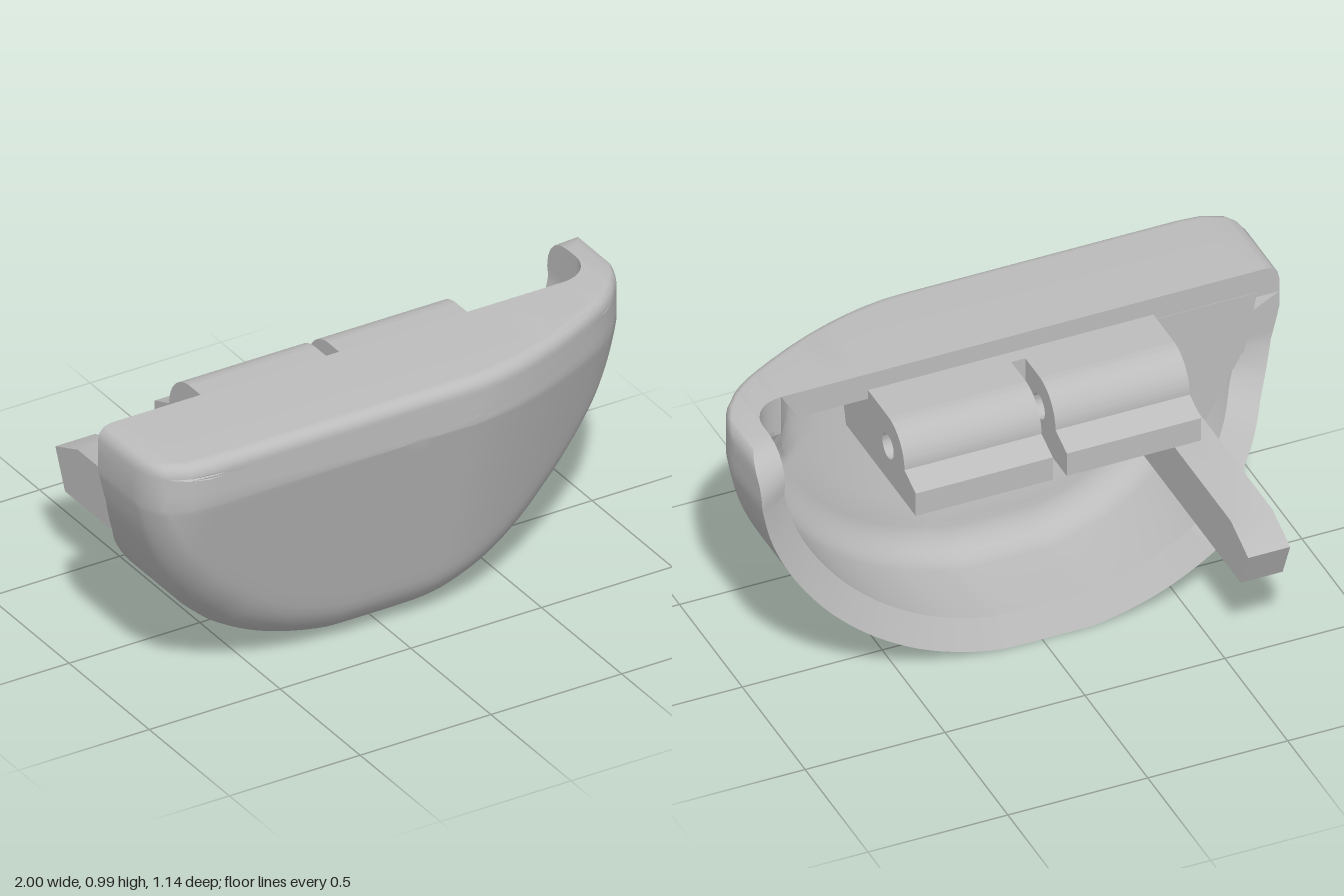
import * as THREE from 'three';
import { toCreasedNormals } from 'three/addons/utils/BufferGeometryUtils.js';

const V = (x, y) => new THREE.Vector2(x, y);
const { clamp, lerp } = THREE.MathUtils;
const TOP = 0.985, EDGE = 0.18, BACK = -0.16, FILLET = 0.12, PLATE = 0.885, CENTRE = V(0, 0.82);

// depth of the front face: leans back below y 0.82, sweeps back towards +x, rounded at both ends
function frontZ(x, y) {
  const lean = 0.27 * Math.max(0, 0.82 - y);
  const sweep = 0.33 * Math.pow(Math.max(0, (x - 0.2) / 0.8), 1.7);
  const end = clamp((Math.abs(x) - 0.82) / 0.18, 0, 1);
  return 0.57 - lean - sweep - 0.13 * (1 - Math.sqrt(1 - end * end));
}

// back edge of the -x wall, cut away towards the top: [y, z]
const CUT = [[0.19, -0.16], [0.24, -0.1], [0.27, -0.05], [0.33, -0.01], [0.43, 0.04],
  [0.53, 0.11], [0.62, 0.15], [0.7, 0.18]];
function cutZ(y) {
  if (y <= CUT[0][0]) return BACK;
  for (let i = 1; i < CUT.length; i++) {
    const [y0, z0] = CUT[i - 1], [y1, z1] = CUT[i];
    if (y <= y1) return lerp(z0, z1, (y - y0) / (y1 - y0));
  }
  return EDGE;
}
const roundedBackZ = y => y < 0.815 ? BACK
  : 0.01 - Math.sqrt(Math.max(0, 0.17 ** 2 - (y - 0.815) ** 2));

// outline with rim depth per point, counter-clockwise from the -x side
function makeOutline() {
  const pts = [];
  const curve = new THREE.SplineCurve([[-1, 0.82], [-0.97, 0.7], [-0.925, 0.58], [-0.865, 0.46],
    [-0.785, 0.34], [-0.69, 0.235], [-0.57, 0.14], [-0.4, 0.055], [-0.2, 0.003], [-0.05, 0], [0.05, 0],
    [0.2, 0.012], [0.4, 0.075], [0.57, 0.17], [0.71, 0.285], [0.82, 0.41], [0.91, 0.55], [0.97, 0.69], [1, 0.82]]
    .map(p => V(...p)));
  for (const p of curve.getSpacedPoints(90)) {
    p.y = Math.max(0, p.y);
    pts.push({ p, z: p.x < 0 ? cutZ(p.y) : roundedBackZ(p.y) });
  }
  // +x wall corner
  for (const [x, y] of [[1, 0.86], [1, 0.9], [1, 0.935], [0.994, 0.96], [0.978, 0.978], [0.95, TOP], [0.9, TOP]])
    pts.push({ p: V(x, y), z: roundedBackZ(y), wall: true, top: y === TOP });
  // inner corner fillet, then the straight top edge
  for (let i = 0; i <= 8; i++) {
    const a = i / 8 * Math.PI / 2;
    pts.push({ p: V(0.78 + FILLET * Math.cos(a), TOP), z: 0.06 + FILLET * Math.sin(a), top: true, open: true, arc: i });
  }
  for (let x = 0.72; x > -0.9; x -= 0.08) pts.push({ p: V(x, TOP), z: EDGE, top: true, open: true });
  for (const [x, y] of [[-0.95, TOP], [-0.978, 0.978], [-0.994, 0.96], [-1, 0.935], [-1, 0.88]])
    pts.push({ p: V(x, y), z: EDGE, top: y === TOP, open: true });

  pts.forEach((q, i) => {
    const a = pts[(i + pts.length - 1) % pts.length].p, b = pts[(i + 1) % pts.length].p;
    q.n = q.top ? V(0, -1) : V(a.y - b.y, b.x - a.x).normalize();
    q.r = q.top ? 0.045 : lerp(0.17, 0.05, clamp((q.p.y - 0.25) / 0.57, 0, 1));
    q.inner = q.open ? q.p : q.wall ? V(0.9, q.p.y) : q.p.clone().addScaledVector(q.n, 0.1);
    q.innerZ = q.open ? q.z : Math.min(EDGE, q.z + 0.05 * clamp((TOP - q.p.y) / 0.17, 0, 1));
    // cavity floor depth at the end of the inner fillet
    const inDir = q.wall ? V(-1, 0) : q.n;
    const foot = q.inner.clone().addScaledVector(inDir, FILLET);
    q.floorZ = Math.max(EDGE, frontZ(foot.x, foot.y) - 0.12);
    if (q.p.x > 0) q.floorZ = Math.min(q.floorZ, EDGE + 0.3 * Math.max(0, 0.82 - q.p.y));
    q.fillet = a => {
      if (q.arc === undefined && q.open) return [q.p.x, q.p.y, q.z];
      if (q.open) {
        const b = Math.max(a, q.arc / 8 * Math.PI / 2);
        return [0.78 + FILLET * Math.cos(b), TOP, EDGE - FILLET * (1 - Math.sin(b))];
      }
      const f = Math.min(FILLET, q.floorZ - q.innerZ);
      const p = q.inner.clone().addScaledVector(inDir, f * (1 - Math.cos(a)));
      return [p.x, p.y, q.floorZ - f * (1 - Math.sin(a))];
    };
  });
  return pts;
}

// hollow shell lofted from the front centre, round the rim, to the cavity floor
function shellGeometry() {
  const pts = makeOutline(), rings = [];
  const ring = fn => rings.push(pts.map(fn));
  for (let k = 0; k < 14; k++) ring(q => {
    const p = CENTRE.clone().lerp(q.p.clone().addScaledVector(q.n, q.r), k / 14);
    return [p.x, p.y, frontZ(p.x, p.y)];
  });
  for (let k = 8; k >= 0; k--) ring(q => {
    const a = k / 8 * Math.PI / 2;
    const p = q.p.clone().addScaledVector(q.n, q.r * (1 - Math.cos(a)));
    return [p.x, p.y, frontZ(p.x, p.y) - q.r * (1 - Math.sin(a))];
  });
  ring(q => [q.p.x, q.p.y, q.z]);
  ring(q => [q.inner.x, q.inner.y, q.innerZ]);
  for (let k = 0; k <= 8; k++) ring(q => q.fillet(k / 8 * Math.PI / 2));

  // back edge and underside of the top plate, then the floor behind it
  const plated = q => q.open && q.arc === undefined;
  const under = q => V(Math.max(q.p.x, -0.85), Math.min(q.p.y, PLATE));
  ring(q => plated(q) ? [...under(q).toArray(), EDGE] : q.fillet(Math.PI / 2));
  for (let k = 0; k <= 6; k++) ring(q => {
    const [x, y] = q.fillet(Math.PI / 2);
    const start = plated(q) ? under(q) : V(x, y).lerp(CENTRE, 0.1);
    const p = start.lerp(CENTRE, k / 6);
    return [p.x, p.y, frontZ(p.x, p.y) - 0.12];
  });

  const n = pts.length, last = rings.length - 2, index = [];
  for (let k = 0; k <= last; k++)
    for (let i = 0; i < n; i++) {
      const j = (i + 1) % n, a = k * n + i, b = k * n + j, c = a + n, d = b + n;
      if (k === 0) index.push(a, c, d);
      else if (k === last) index.push(a, c, b);
      else index.push(a, c, d, a, d, b);
    }
  const g = new THREE.BufferGeometry();
  g.setAttribute('position', new THREE.Float32BufferAttribute(rings.flat(2), 3));
  g.setIndex(index);
  return toCreasedNormals(g, 0.6);
}

// extrude a side profile (drawn as -z, y) from x0 to x1
function sideExtrude(shape, x0, x1) {
  const g = new THREE.ExtrudeGeometry(shape, { depth: x1 - x0, bevelEnabled: false, curveSegments: 20 });
  g.rotateY(Math.PI / 2).translate(x0, 0, 0);
  return toCreasedNormals(g, 0.5);
}

function hingeShape() {
  const s = new THREE.Shape();
  s.moveTo(-0.43, 0.665);
  s.lineTo(0.2, 0.665);
  s.lineTo(0.2, 0.755);
  s.lineTo(0.11, 0.79);
  s.absarc(-0.02, 0.79, 0.13, 0, Math.PI / 2, false);
  s.lineTo(-0.43, 0.92);
  s.closePath();
  const hole = new THREE.Path();
  hole.absarc(-0.02, 0.8, 0.045, 0, Math.PI * 2, true);
  s.holes.push(hole);
  return s;
}

export function createModel() {
  const model = new THREE.Group();
  model.name = 'hingedCover';
  const grey = new THREE.MeshStandardMaterial({ color: 0xbcbcbc });
  grey.name = 'grey plastic';
  const add = (name, geometry) => {
    const m = new THREE.Mesh(geometry, grey);
    m.name = name;
    model.add(m);
    return m;
  };

  add('shell', shellGeometry());

  // solid filling of the cavity beside the latch
  const fill = new THREE.Shape([V(-0.55, 0.3), V(-0.55, 0.9), V(-0.92, 0.9), V(-0.9, 0.8),
    V(-0.87, 0.66), V(-0.75, 0.45), V(-0.62, 0.3)]);
  add('latchBlock', new THREE.ExtrudeGeometry(fill, { depth: 0.18, bevelEnabled: false })).position.z = 0.178;

  // two hinge knuckles joined behind a narrow slot
  for (const [name, x0, x1] of [['hingeRight', -0.55, -0.07], ['hingeLeft', -0.02, 0.47]])
    add(name, sideExtrude(hingeShape(), x0, x1));
  add('hingeBridge', new THREE.BoxGeometry(0.05, 0.255, 0.3)).position.set(-0.045, 0.7925, 0.28);

  // latch arm with a pointed tip
  const arm = new THREE.Shape([V(-0.3, 0.3), V(0.515, 0.3), V(0.575, 0.44), V(0.435, 0.497), V(-0.3, 0.497)]);
  add('latchArm', sideExtrude(arm, -0.7, -0.55));

  return model;
}
